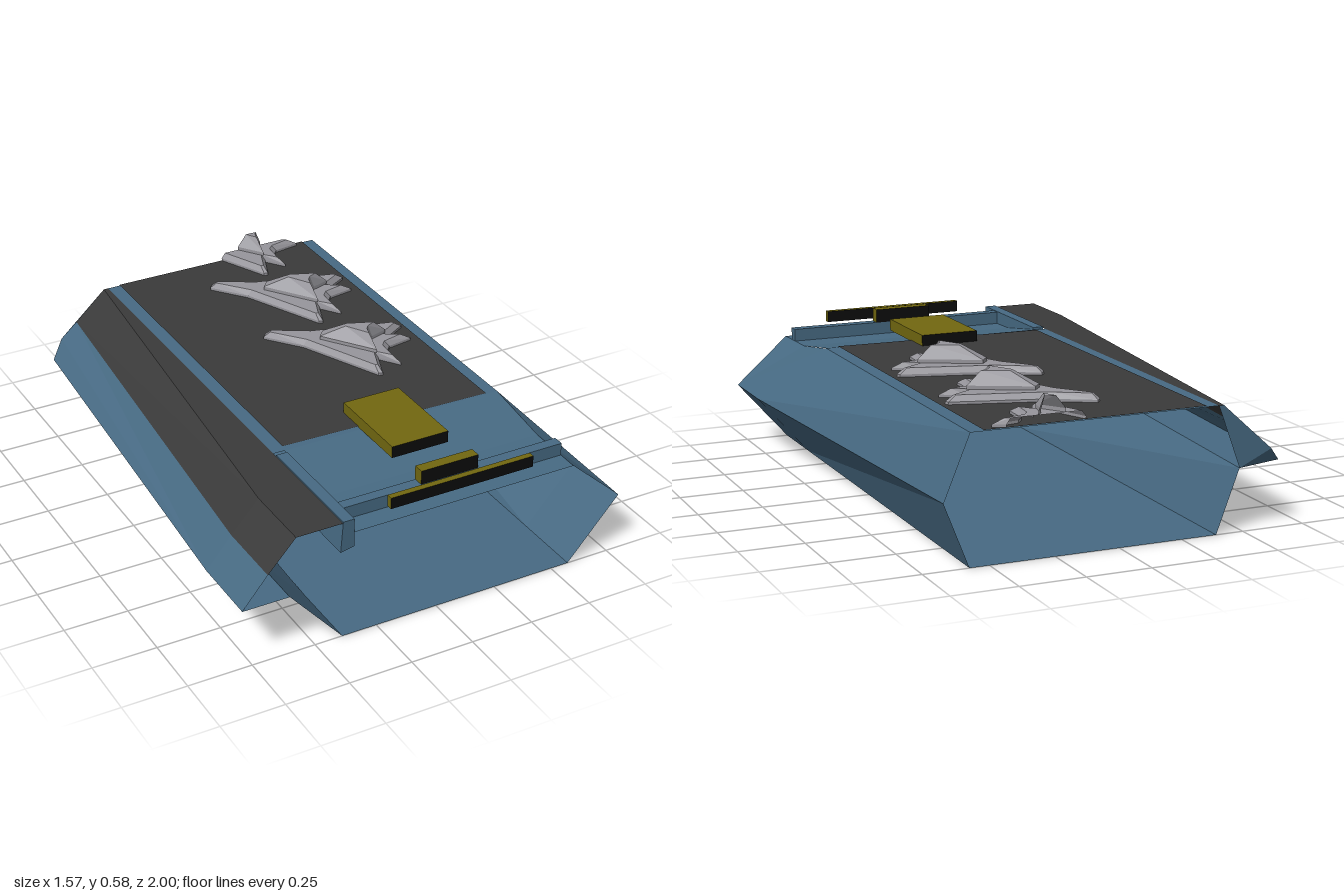
import * as THREE from 'three';

const paint = (name, color) => {
  const m = new THREE.MeshStandardMaterial({ color, side: THREE.DoubleSide, flatShading: true });
  m.name = name;
  return m;
};

// Flat convex polygons, each a list of [x, y, z] corners, fanned into one mesh
function panels(name, material, polygons) {
  const pos = [];
  for (const p of polygons)
    for (let i = 1; i < p.length - 1; i++) pos.push(...p[0], ...p[i], ...p[i + 1]);
  const geo = new THREE.BufferGeometry();
  geo.setAttribute('position', new THREE.Float32BufferAttribute(pos, 3));
  geo.computeVertexNormals();
  const mesh = new THREE.Mesh(geo, material);
  mesh.name = name;
  return mesh;
}

// Keep only the part of a polygon in front of z = limit
function clipBack(poly, limit) {
  const out = [];
  poly.forEach((a, i) => {
    const b = poly[(i + 1) % poly.length];
    if (a[2] >= limit) out.push(a);
    if ((a[2] >= limit) !== (b[2] >= limit)) {
      const t = (limit - a[2]) / (b[2] - a[2]);
      out.push(a.map((v, k) => v + (b[k] - v) * t));
    }
  });
  return out;
}

// Stack of outlines joined by side faces and capped on top
function loft(layers) {
  const polys = [];
  for (let l = 0; l < layers.length - 1; l++) {
    const lo = layers[l], hi = layers[l + 1], n = lo.length;
    for (let i = 0; i < n; i++) {
      const j = (i + 1) % n;
      polys.push([lo[i], hi[i], hi[j], lo[j]]);
    }
  }
  const top = layers[layers.length - 1];
  const flat = top.map((p) => new THREE.Vector2(p[0], p[2]));
  for (const t of THREE.ShapeUtils.triangulateShape(flat, [])) polys.push([top[t[0]], top[t[2]], top[t[1]]]);
  return polys;
}

// Outline halves as [distance behind nose, half width]
const WING = [[0, 0.014], [0.17, 0.048], [0.5, 0.202], [0.515, 0.195], [0.475, 0.08], [0.57, 0.104], [0.5, 0.02]];
const WING_TOP = [[0.025, 0.008], [0.18, 0.036], [0.48, 0.177], [0.49, 0.172], [0.455, 0.072], [0.53, 0.085], [0.48, 0.016]];
const CABIN = [[0.23, 0.024], [0.47, 0.085], [0.43, 0.02]];
const CABIN_TOP = [[0.33, 0.012], [0.43, 0.046], [0.415, 0.012]];

function aircraft(material, noseZ) {
  const place = (half, y) => {
    const mirrored = half.map(([a, p]) => [a, -p]).reverse();
    return [...half, ...mirrored].map(([a, p]) => [-0.018 + 0.758 * a + 0.653 * p, y, noseZ + 0.652 * a - 0.758 * p]);
  };
  const clip = (polys) => polys.map((p) => clipBack(p, -1)).filter((p) => p.length > 2);
  const g = new THREE.Group();
  g.name = 'parkedAircraft';
  g.add(panels('wings', material, clip(loft([place(WING, 0.484), place(WING, 0.494), place(WING_TOP, 0.516)]))));
  g.add(panels('cabin', material, clip(loft([place(CABIN, 0.516), place(CABIN, 0.53), place(CABIN_TOP, 0.58)]))));
  return g;
}

export function createModel() {
  const blue = paint('hullBlue', 0x476a83);
  const dark = paint('deckGrey', 0x3a3a3a);
  const yellow = paint('blockYellow', 0x726810);
  const black = paint('blockBlack', 0x0c0c0c);
  const grey = paint('aircraftGrey', 0x97969c);

  const model = new THREE.Group();
  model.name = 'carrierHullSection';

  const box = (name, mat, x0, x1, y0, y1, z0, z1) => {
    const m = new THREE.Mesh(new THREE.BoxGeometry(x1 - x0, y1 - y0, z1 - z0), mat);
    m.position.set((x0 + x1) / 2, (y0 + y1) / 2, (z0 + z1) / 2);
    m.name = name;
    model.add(m);
  };

  // Hull: floor and side walls, open at both ends
  model.add(panels('hullFloor', blue, [[[-0.39, 0, -1], [0.575, 0, -1], [0.575, 0, 1], [-0.39, 0, 1]]]));
  model.add(panels('leftHullWall', blue, [
    [[0.575, 0, 1], [0.575, 0, 0.72], [0.785, 0.24, 0.72], [0.785, 0.24, 1]],
    [[0.575, 0, 0.72], [0.575, 0, -1], [0.67, 0.24, -1], [0.785, 0.24, 0.72]],
    [[0.785, 0.24, 1], [0.785, 0.24, 0.72], [0.57, 0.48, 0.47], [0.57, 0.435, 0.76], [0.57, 0.43, 1]],
    [[0.785, 0.24, 0.72], [0.67, 0.24, -1], [0.57, 0.48, -1], [0.57, 0.48, 0.47]],
  ]));
  model.add(panels('rightHullWall', blue, [
    [[-0.39, 0, 1], [-0.6, 0.24, 1], [-0.6, 0.24, 0.72], [-0.39, 0, 0.72]],
    [[-0.39, 0, 0.72], [-0.6, 0.24, 0.72], [-0.48, 0.24, -1], [-0.39, 0, -1]],
  ]));

  // Side overhang: underside, blue lower slope and rear closing panel
  model.add(panels('overhangUnderside', blue, [
    [[-0.6, 0.24, 1], [-0.785, 0.24, 1], [-0.785, 0.24, 0.72], [-0.6, 0.24, 0.72]],
    [[-0.6, 0.24, 0.72], [-0.785, 0.24, 0.72], [-0.67, 0.24, -0.95], [-0.48, 0.24, -1]],
  ]));
  model.add(panels('overhangLowerSlope', blue, [
    [[-0.785, 0.24, 1], [-0.685, 0.36, 1], [-0.685, 0.36, 0.72], [-0.785, 0.24, 0.72]],
    [[-0.785, 0.24, 0.72], [-0.685, 0.36, 0.72], [-0.54, 0.36, -1], [-0.61, 0.3, -1], [-0.67, 0.24, -0.95]],
  ]));
  model.add(panels('overhangRearPanel', blue, [
    [[-0.48, 0.24, -1], [-0.39, 0.48, -1], [-0.41, 0.48, -1], [-0.61, 0.3, -1], [-0.67, 0.24, -0.95]],
  ]));
  model.add(panels('overhangDeck', dark, [
    [[-0.39, 0.48, 1], [-0.39, 0.48, 0.72], [-0.575, 0.48, 0.72], [-0.575, 0.48, 1]],
    [[-0.39, 0.48, 0.72], [-0.39, 0.48, -1], [-0.41, 0.48, -1], [-0.575, 0.48, 0.72]],
    [[-0.575, 0.48, 1], [-0.575, 0.48, 0.72], [-0.685, 0.36, 0.72], [-0.685, 0.36, 1]],
    [[-0.575, 0.48, 0.72], [-0.41, 0.48, -1], [-0.54, 0.36, -1], [-0.685, 0.36, 0.72]],
  ]));

  // Main deck dipping toward the front, with a dark runway plate
  const dip = [[0.48, -1], [0.48, 0.48], [0.435, 0.76], [0.43, 1]];
  model.add(panels('mainDeck', blue, dip.slice(1).map(([y, z], i) => {
    const [y0, z0] = dip[i], x0 = i ? -0.345 : -0.39;
    return [[x0, y0, z0], [x0, y, z], [0.57, y, z], [0.57, y0, z0]];
  })));
  model.add(panels('runway', dark, [
    [[-0.34, 0.484, -1], [-0.34, 0.484, 0.455], [0.52, 0.484, 0.48], [0.52, 0.484, -1]],
  ]));

  // Front cross ridge and side beam
  box('crossRidge', blue, -0.345, 0.57, 0.43, 0.482, 0.875, 0.918);
  model.add(panels('sideBeam', blue, loft([
    [[-0.4, 0.36, 0.5], [-0.345, 0.372, 0.5], [-0.345, 0.372, 1], [-0.4, 0.36, 1]],
    [[-0.39, 0.485, 0.5], [-0.345, 0.485, 0.5], [-0.345, 0.485, 1], [-0.39, 0.485, 1]],
  ])));

  // Yellow blocks with black front and back faces
  const block = [yellow, yellow, yellow, yellow, black, black];
  box('largeBlock', block, -0.027, 0.21, 0.48, 0.527, 0.35, 0.71);
  box('ridgeBlock', block, -0.027, 0.21, 0.482, 0.537, 0.872, 0.915);
  box('frontBar', block, -0.2, 0.39, 0.48, 0.525, 0.975, 1);

  // Row of aircraft, the rearmost cut off at the section end
  for (let i = 0; i < 3; i++) model.add(aircraft(grey, -0.31 - 0.48 * i));

  return model;
}
